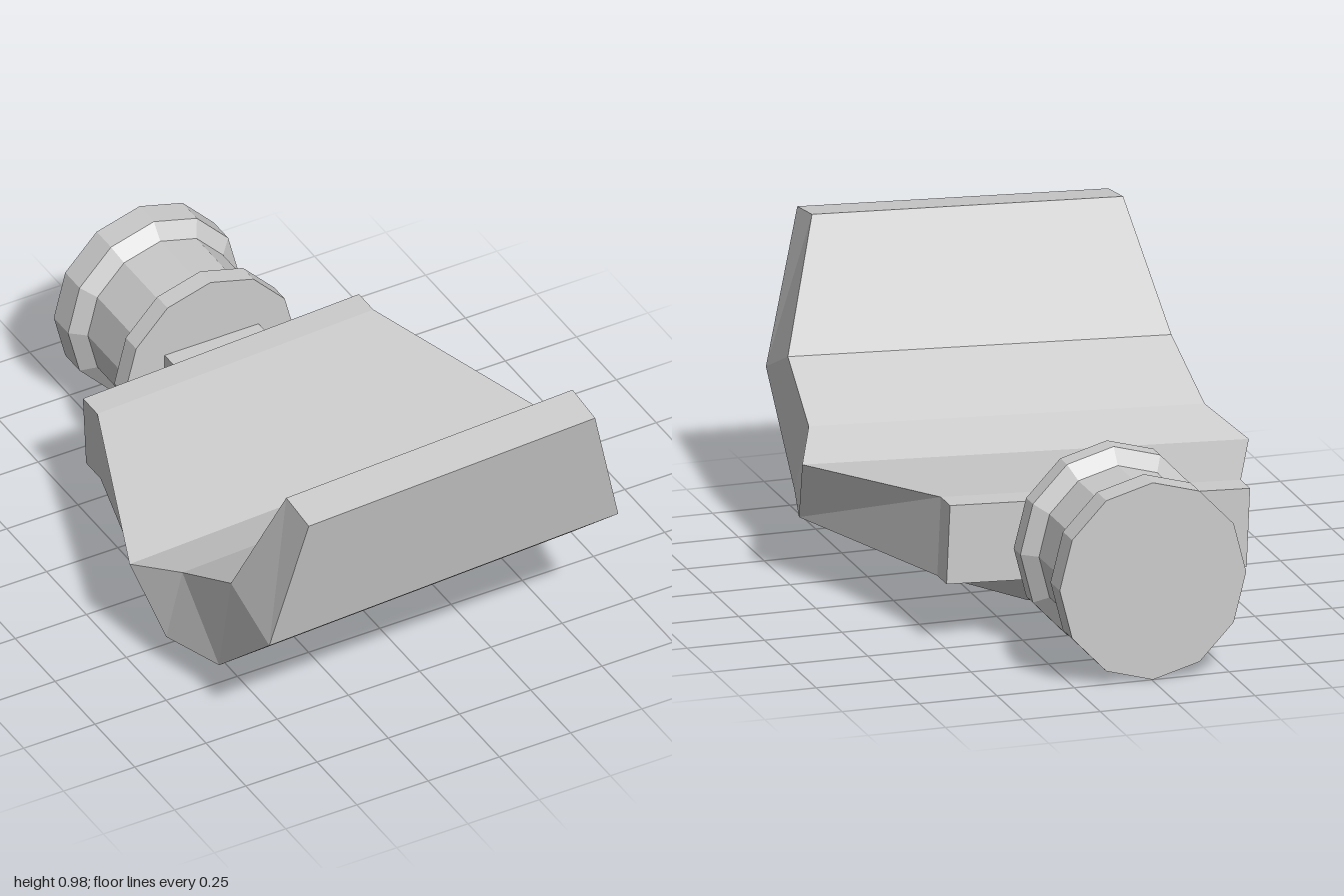
import * as THREE from 'three';

const material = () => new THREE.MeshStandardMaterial({ color: 0xcccccc, flatShading: true });

function addMesh(parent, name, geometry) {
  const mesh = new THREE.Mesh(geometry, material());
  mesh.name = name;
  parent.add(mesh);
  return mesh;
}

// Curved shell: sections swept from the raised front lip to the flat rear,
// each with an outer (front/under) and an inner (back/upper) pair of corners.
function shellGeometry() {
  const sections = [
    // outer half width, y, z        inner half width, y, z
    [[0.503, 0.938, 1.0], [0.503, 0.955, 0.86]],
    [[0.613, 0.458, 0.91], [0.62, 0.557, 0.69]],
    [[0.618, 0.163, 0.58], [0.64, 0.42, 0.41]],
    [[0.678, 0.148, 0.355], [0.722, 0.36, 0.22]],
    [[0.485, 0.18, -0.4], [0.485, 0.432, -0.4]],
    [[0.485, 0.18, -0.49], [0.485, 0.432, -0.49]],
  ];
  const mirror = ([x, y, z]) => [-x, y, z];
  const loops = sections.map(([o, i]) => [o, mirror(o), mirror(i), i]);

  const positions = [];
  const tri = (...points) => points.forEach((p) => positions.push(...p));
  const quad = (a, b, c, d, flip = false) => {
    if (flip) { tri(a, b, d); tri(b, c, d); } else { tri(a, b, c); tri(a, c, d); }
  };

  const keel = 3; // the span that carries the keel under the shell
  for (let i = 0; i < loops.length - 1; i++) {
    const a = loops[i], b = loops[i + 1];
    for (let j = 0; j < 4; j++) {
      if (i === keel && j === 0) continue;
      const k = (j + 1) % 4;
      quad(a[j], a[k], b[k], b[j], (j === 1) !== (i === keel));
    }
  }

  // Keel ridge
  const k0 = [0.145, 0.045, -0.28], k1 = mirror(k0);
  const a = loops[keel], b = loops[keel + 1];
  quad(a[0], a[1], k1, k0);
  quad(k0, k1, b[1], b[0]);
  tri(b[0], a[0], k0);
  tri(a[1], b[1], k1);

  // End caps
  const [s, e] = [loops[0], loops[loops.length - 1]];
  quad(s[3], s[2], s[1], s[0]);
  quad(e[0], e[1], e[2], e[3]);

  const geometry = new THREE.BufferGeometry();
  geometry.setAttribute('position', new THREE.Float32BufferAttribute(positions, 3));
  geometry.computeVertexNormals();
  return geometry;
}

// Twelve-sided spool with a narrower waist, lying along z
function spoolGeometry() {
  const profile = [
    [0, -1], [0.317, -1], [0.317, -0.91], [0.268, -0.87],
    [0.268, -0.66], [0.317, -0.62], [0.317, -0.555], [0, -0.555],
  ].map(([r, z]) => new THREE.Vector2(r, z));
  return new THREE.LatheGeometry(profile, 12).rotateX(Math.PI / 2).scale(0.95, 1, 1);
}

export function createModel() {
  const model = new THREE.Group();
  model.name = 'model';

  // Shell, rolled slightly about its long axis
  const pivotY = 0.35;
  const shell = addMesh(model, 'shell', shellGeometry().translate(0, -pivotY, 0));
  shell.position.y = pivotY;
  shell.rotation.z = 0.045;

  // Two flat plates joining shell and spool
  for (const [name, y] of [['upperLink', 0.383], ['lowerLink', 0.237]]) {
    const link = addMesh(model, name, new THREE.BoxGeometry(0.33, 0.062, 0.12));
    link.position.set(0, y, -0.52);
  }

  // Spool
  addMesh(model, 'spool', spoolGeometry()).position.set(-0.004, 0.317, 0);

  return model;
}
